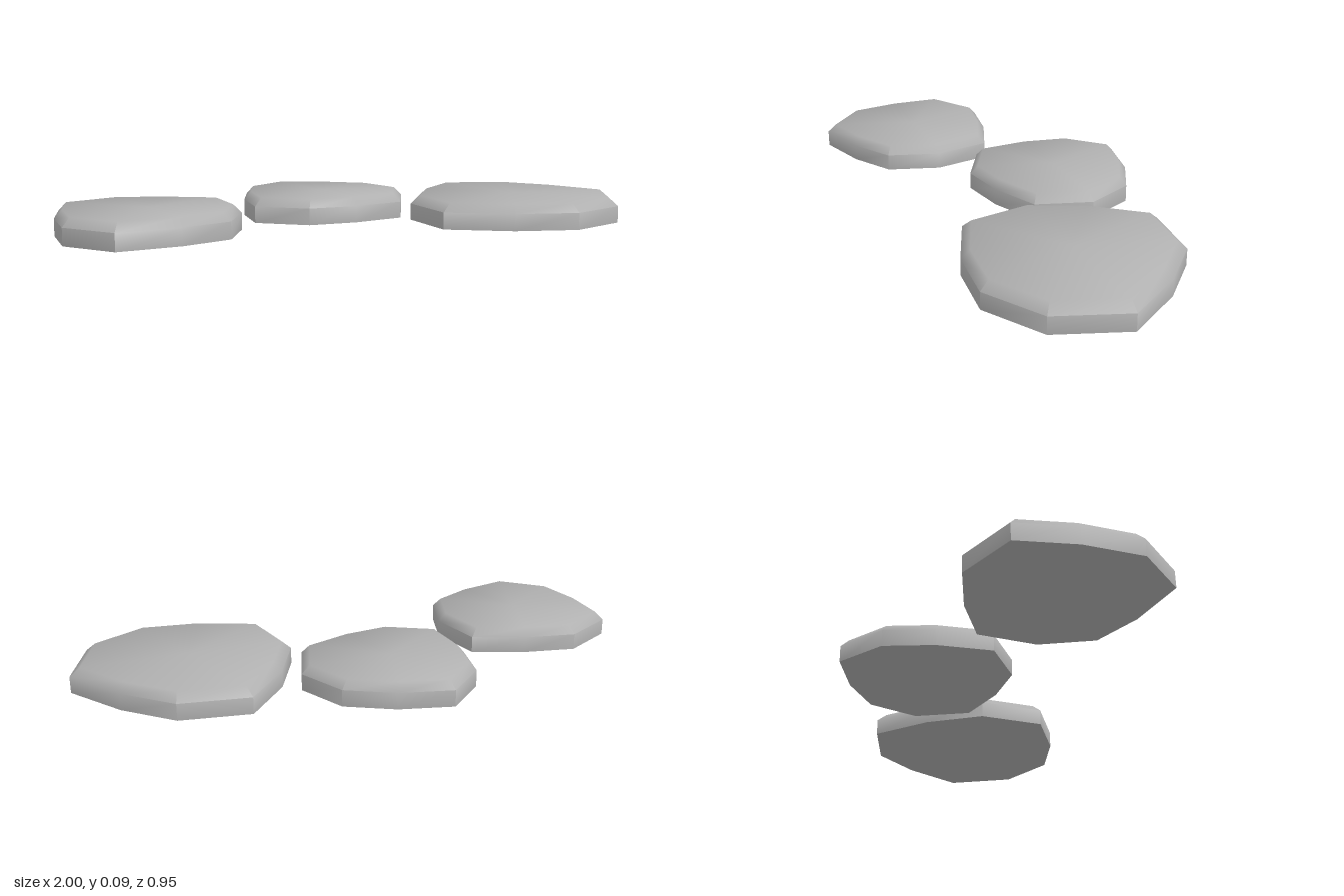
import * as THREE from 'three';
import { toCreasedNormals } from 'three/addons/utils/BufferGeometryUtils.js';

const HEIGHT = 0.087; // flat top
const SHOULDER = 0.058; // where the bevel starts
const TOP_SCALE = 0.91; // top outline relative to the base

// Outlines as [x, z], running clockwise seen from above
const OUTLINES = {
  rightStone: [[-0.8, -0.16], [-0.61, -0.125], [-0.43, -0.055], [-0.39, 0.15], [-0.45, 0.335],
    [-0.61, 0.42], [-0.815, 0.475], [-0.97, 0.335], [-1, 0.14], [-0.99, -0.055]],
  middleStone: [[-0.16, -0.48], [0.025, -0.435], [0.185, -0.35], [0.267, -0.175], [0.205, 0.02],
    [0.025, 0.09], [-0.15, 0.115], [-0.325, 0.02], [-0.335, -0.175], [-0.3, -0.35]],
  leftStone: [[0.47, -0.305], [0.71, -0.27], [0.865, -0.125], [1, 0.075], [0.915, 0.31],
    [0.71, 0.425], [0.49, 0.4], [0.27, 0.31], [0.227, 0.075], [0.32, -0.125]],
};

// Flat stone: upright sides, bevelled shoulder, closed top and bottom
function stoneGeometry(outline) {
  const n = outline.length;
  const cx = outline.reduce((s, p) => s + p[0], 0) / n;
  const cz = outline.reduce((s, p) => s + p[1], 0) / n;
  const rings = [[0, 1], [SHOULDER, 1], [HEIGHT, TOP_SCALE]];
  const positions = [];
  for (const [y, scale] of rings) {
    for (const [x, z] of outline) positions.push(cx + (x - cx) * scale, y, cz + (z - cz) * scale);
  }
  positions.push(cx, 0, cz, cx, HEIGHT, cz);
  const bottom = 3 * n, top = bottom + 1;

  const index = [];
  for (let i = 0; i < n; i++) {
    const j = (i + 1) % n;
    for (let r = 0; r < 2; r++) {
      const a = r * n + i, b = r * n + j;
      index.push(b, a, a + n, b, a + n, b + n);
    }
    index.push(bottom, i, j, top, 2 * n + j, 2 * n + i);
  }
  const geometry = new THREE.BufferGeometry();
  geometry.setAttribute('position', new THREE.Float32BufferAttribute(positions, 3));
  geometry.setIndex(index);
  return toCreasedNormals(geometry, THREE.MathUtils.degToRad(52));
}

export function createModel() {
  const group = new THREE.Group();
  group.name = 'steppingStones';
  const stone = new THREE.MeshStandardMaterial({ color: 0xb0b0b0 });
  stone.name = 'stone grey';
  for (const [name, outline] of Object.entries(OUTLINES)) {
    const mesh = new THREE.Mesh(stoneGeometry(outline), stone);
    mesh.name = name;
    group.add(mesh);
  }
  return group;
}
